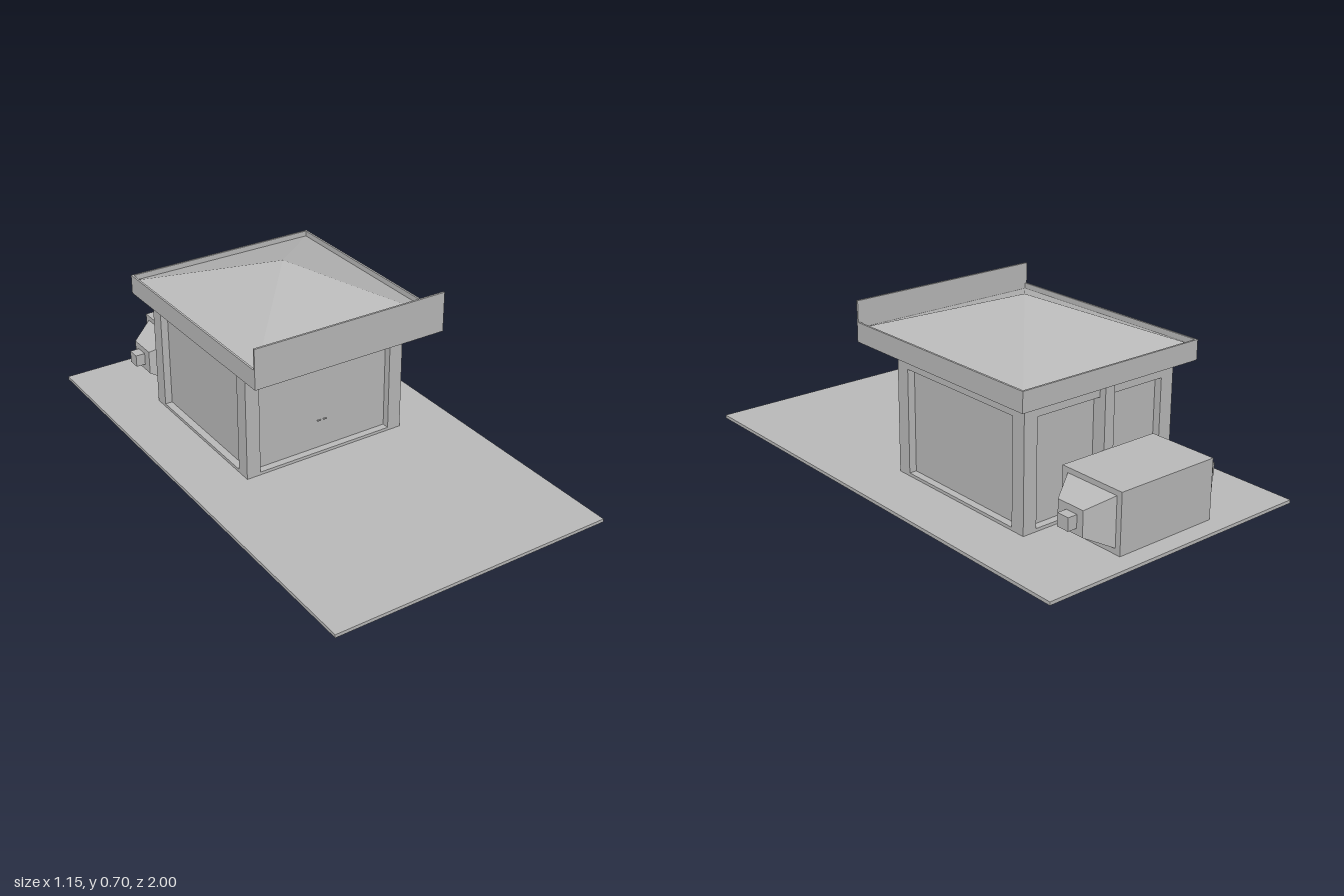
import * as THREE from 'three';

export function createModel() {
  const model = new THREE.Group();
  model.name = 'smallBuilding';
  const grey = new THREE.MeshStandardMaterial({ color: 0xb8b8b8, flatShading: true });
  grey.name = 'plainGrey';

  const add = (name, geometry, parent = model) => {
    const mesh = new THREE.Mesh(geometry, grey);
    mesh.name = name;
    parent.add(mesh);
    return mesh;
  };
  // Box given by its two extreme corners
  const box = (name, [x0, y0, z0], [x1, y1, z1], parent) => {
    const g = new THREE.BoxGeometry(x1 - x0, y1 - y0, z1 - z0);
    g.translate((x0 + x1) / 2, (y0 + y1) / 2, (z0 + z1) / 2);
    return add(name, g, parent);
  };
  const rect = (Type, x0, y0, x1, y1) => new Type([
    new THREE.Vector2(x0, y0), new THREE.Vector2(x1, y0),
    new THREE.Vector2(x1, y1), new THREE.Vector2(x0, y1),
  ]);
  // Rectangular frame with a rectangular opening, extruded along +z
  const frame = (outer, inner, depth) => {
    const shape = rect(THREE.Shape, ...outer);
    shape.holes.push(rect(THREE.Path, ...inner));
    return new THREE.ExtrudeGeometry(shape, { depth, bevelEnabled: false });
  };

  // Ground slab
  box('groundSlab', [-0.575, 0, -1], [0.575, 0.013, 1]);

  // Walls: a core with a recessed panel framed on each side
  const W = 0.35, front = 0.088, back = -0.614, D = 0.03;
  const midZ = (front + back) / 2, halfZ = (front - back) / 2;
  box('wallCore', [-W + D, 0.013, back + D], [W - D, 0.49, front - D]);
  for (const [name, half, offset, angle] of [
    ['frontFrame', W, halfZ, 0], ['backFrame', W, halfZ, Math.PI],
    ['leftFrame', halfZ - D, W, Math.PI / 2], ['rightFrame', halfZ - D, W, -Math.PI / 2],
  ]) {
    const open = half === W ? 0.292 : 0.291;
    const g = frame([-half, 0.013, half, 0.49], [-open, 0.025, open, 0.433], D);
    g.translate(0, 0, offset - D);
    g.rotateY(angle);
    g.translate(0, 0, midZ);
    add(name, g);
  }

  // Pair of small door pulls
  for (const s of [-1, 1]) {
    const pull = add('doorPull', new THREE.BoxGeometry(0.014, 0.003, 0.006));
    pull.position.set(s * 0.013, 0.144, front - D + 0.003);
  }

  // Roof: eaves slab, thin rim, low pyramid and raised front board
  const RX = 0.408, rz0 = -0.672, rz1 = 0.257, rimT = 0.008;
  const roofZ = (rz0 + rz1) / 2, RZ = (rz1 - rz0) / 2;
  const roof = new THREE.Group();
  roof.name = 'roof';
  model.add(roof);
  box('eavesSlab', [-RX + rimT, 0.49, rz0 + rimT], [RX - rimT, 0.545, rz1 - rimT], roof);
  const rim = frame([-RX, -RZ, RX, RZ], [-RX + rimT, -RZ + rimT, RX - rimT, RZ - rimT], 0.077);
  rim.rotateX(-Math.PI / 2);
  rim.translate(0, 0.49, roofZ);
  add('roofRim', rim, roof);
  const pyramid = new THREE.ConeGeometry(Math.SQRT1_2, 1, 4, 1, true);
  pyramid.rotateY(Math.PI / 4);
  pyramid.scale(2 * (RX - rimT), 0.16, 2 * (RZ - rimT));
  pyramid.translate(0, 0.625, roofZ);
  add('roofPyramid', pyramid, roof);
  box('frontBoard', [-RX, 0.567, rz1 - rimT], [RX, 0.65, rz1], roof);

  // Rear machine: box body with tapered ends and square stubs
  const unit = new THREE.Group();
  unit.name = 'rearUnit';
  model.add(unit);
  const cx = -0.016, cy = 0.13, cz = -0.785;
  box('unitBody', [cx - 0.217, 0.013, -0.925], [cx + 0.217, 0.245, -0.641], unit);
  for (const s of [-1, 1]) {
    const taper = new THREE.CylinderGeometry(0.515 * Math.SQRT1_2, Math.SQRT1_2, 1, 4, 1);
    taper.rotateY(Math.PI / 4);
    taper.scale(0.19, 0.095, 0.235);
    taper.rotateZ(-s * Math.PI / 2);
    taper.translate(cx + s * 0.2645, cy, cz);
    add('unitTaper', taper, unit);
    const stub = add('unitStub', new THREE.BoxGeometry(0.04, 0.05, 0.052), unit);
    stub.position.set(cx + s * 0.331, cy, -0.791);
  }

  // Vertical duct between the rear wall and the machine
  box('rearDuct', [cx - 0.02, 0.013, -0.641], [cx + 0.024, 0.49, back + D]);

  return model;
}
